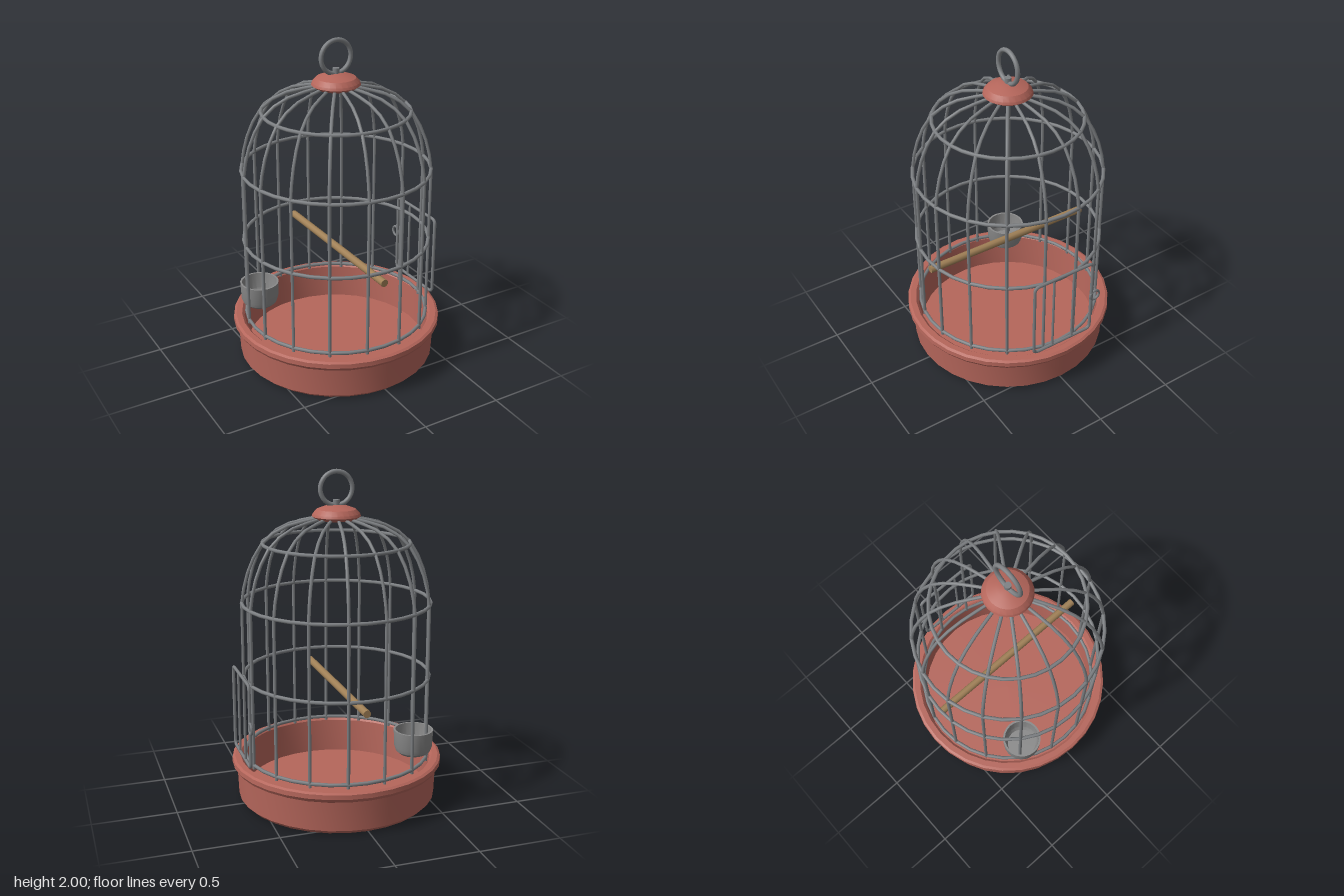
import * as THREE from 'three';
import { toCreasedNormals } from 'three/addons/utils/BufferGeometryUtils.js';

const enamel = new THREE.MeshStandardMaterial({ name: 'red enamel', color: 0xb5665b });
const wire = new THREE.MeshStandardMaterial({ name: 'grey wire', color: 0x7e8184 });
const tin = new THREE.MeshStandardMaterial({ name: 'cup grey', color: 0x8a8a8a });
const wood = new THREE.MeshStandardMaterial({ name: 'perch wood', color: 0xa18157 });

const BAR_COUNT = 16, CAGE_R = 0.56, WIRE_R = 0.01;

function add(parent, name, geometry, material, x = 0, y = 0, z = 0) {
  const mesh = new THREE.Mesh(geometry, material);
  mesh.name = name;
  mesh.position.set(x, y, z);
  parent.add(mesh);
  return mesh;
}

// Turned solid from [radius, height] pairs, with sharp edges kept
function turned(profile, segments) {
  const points = profile.map(([r, y]) => new THREE.Vector2(r, y));
  return toCreasedNormals(new THREE.LatheGeometry(points, segments), 0.45);
}

export function createModel() {
  const model = new THREE.Group();
  model.name = 'birdcage';

  // Deep tray with an overhanging rim
  add(model, 'tray', turned([
    [0, 0], [0.58, 0], [0.605, 0.025], [0.612, 0.205], [0.63, 0.215], [0.642, 0.235],
    [0.64, 0.262], [0.625, 0.27], [0.59, 0.27], [0.575, 0.255], [0.56, 0.045], [0, 0.045],
  ], 32), enamel);

  // Upright bars that bend over into the dome
  const domeCurve = new THREE.CatmullRomCurve3([
    [CAGE_R, 1.22], [0.53, 1.38], [0.434, 1.575], [0.3, 1.67], [0.1, 1.718],
  ].map(([r, y]) => new THREE.Vector3(r, y, 0)));
  const domeBar = new THREE.TubeGeometry(domeCurve, 8, WIRE_R, 6);
  const upright = new THREE.CylinderGeometry(WIRE_R, WIRE_R, 0.96, 6);
  const bars = new THREE.Group();
  bars.name = 'bars';
  for (let i = 0; i < BAR_COUNT; i++) {
    const bar = new THREE.Group();
    bar.name = 'bar';
    bar.rotation.y = ((i + 0.5) / BAR_COUNT) * Math.PI * 2;
    add(bar, 'upright', upright, wire, CAGE_R, 0.745, 0);
    add(bar, 'domeBar', domeBar, wire);
    bars.add(bar);
  }
  model.add(bars);

  // Horizontal hoops
  for (const [r, y] of [[CAGE_R, 0.288], [CAGE_R, 0.777], [CAGE_R, 1.225], [0.434, 1.575]]) {
    const hoop = add(model, 'hoop', new THREE.TorusGeometry(r, 0.011, 6, 32), wire, 0, y, 0);
    hoop.rotation.x = Math.PI / 2;
  }

  // Cap, stem and hanging ring
  add(model, 'cap', turned([
    [0, 1.71], [0.115, 1.71], [0.143, 1.73], [0.138, 1.745], [0.115, 1.77], [0.06, 1.79], [0, 1.797],
  ], 24), enamel);
  add(model, 'ringStem', new THREE.CylinderGeometry(0.02, 0.02, 0.05, 10), wire, 0, 1.8, 0);
  add(model, 'hangingRing', new THREE.TorusGeometry(0.097, 0.014, 8, 32), wire, 0, 1.889, 0);

  // Perch from front to back
  const perch = add(model, 'perch', new THREE.CylinderGeometry(0.023, 0.023, 1.1, 10), wood, 0, 0.7, 0);
  perch.rotation.x = Math.PI / 2;

  // Food cup fixed near the bars
  add(model, 'foodCup', turned([
    [0, 0.302], [0.085, 0.302], [0.105, 0.32], [0.115, 0.35], [0.12, 0.452],
    [0.108, 0.452], [0.103, 0.35], [0.09, 0.322], [0, 0.322],
  ], 24), tin, -0.41, 0, -0.245);

  // Door: rounded frame, two bars and a pull ring
  const door = new THREE.Group();
  door.name = 'door';
  door.position.set(0.59, 0.565, 0);
  const h = 0.252, w = 0.204, c = 0.03;
  const frame = new THREE.CurvePath();
  const at = (y, z) => new THREE.Vector3(0, y, z);
  const corners = [[1, 1], [1, -1], [-1, -1], [-1, 1]];
  corners.forEach(([sy, sz], i) => {
    const [ny, nz] = corners[(i + 1) % 4];
    const alongZ = sy === ny;
    const start = alongZ ? at(sy * h, sz * (w - c)) : at(sy * (h - c), sz * w);
    const end = alongZ ? at(ny * h, nz * (w - c)) : at(ny * (h - c), nz * w);
    const next = alongZ ? at(ny * (h - c), nz * w) : at(ny * h, nz * (w - c));
    frame.add(new THREE.LineCurve3(start, end));
    frame.add(new THREE.QuadraticBezierCurve3(end, at(ny * h, nz * w), next));
  });
  add(door, 'doorFrame', new THREE.TubeGeometry(frame, 120, WIRE_R, 6, true), wire);
  for (const z of [-0.07, 0.07]) {
    add(door, 'doorBar', new THREE.CylinderGeometry(0.008, 0.008, h * 2, 6), wire, 0, 0, z);
  }
  const pull = add(door, 'pullRing', new THREE.TorusGeometry(0.032, 0.008, 6, 16), wire, 0.003, 0, -0.228);
  pull.rotation.y = Math.PI / 2;
  model.add(door);

  return model;
}
